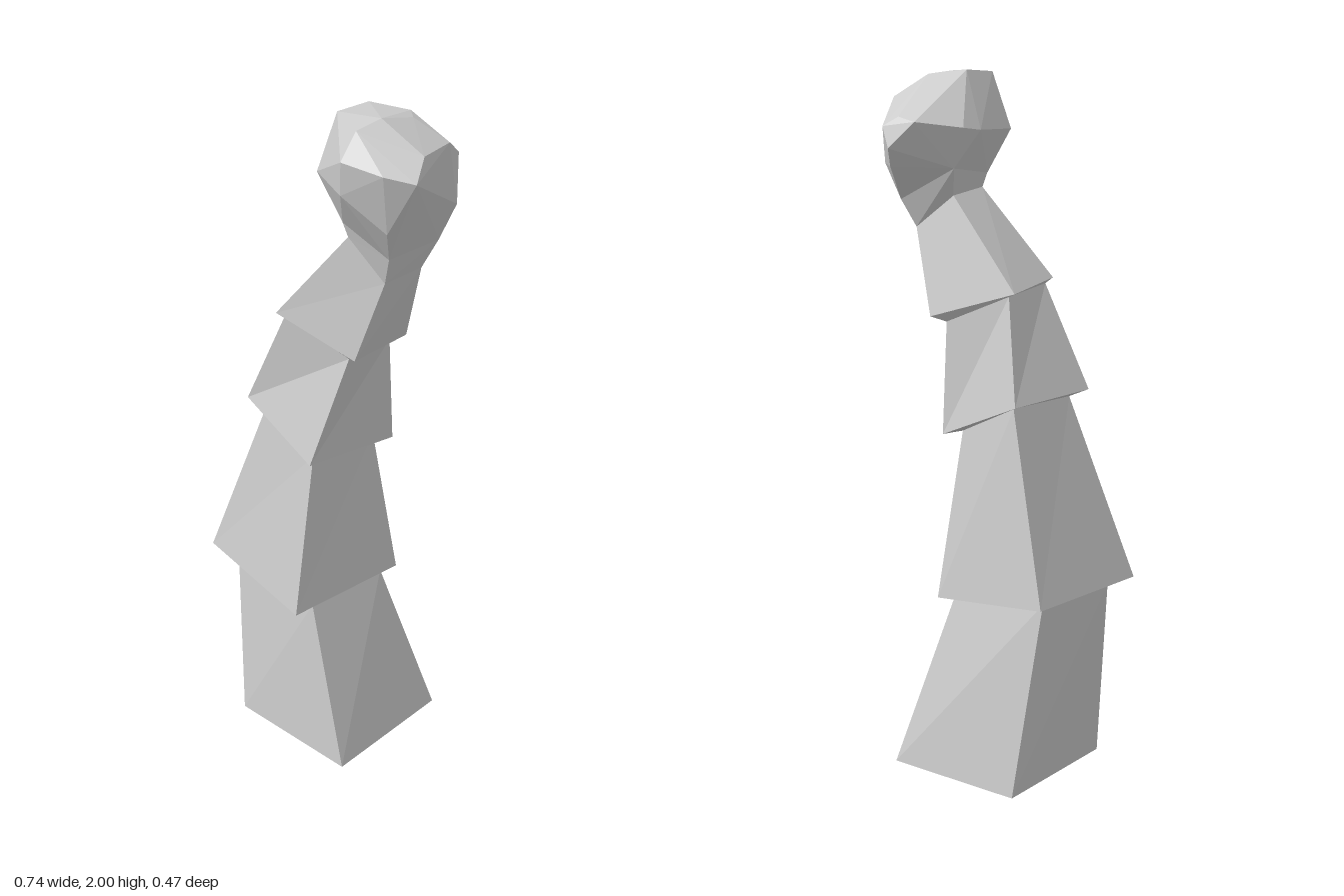
import * as THREE from 'three';
import { ConvexGeometry } from 'three/addons/geometries/ConvexGeometry.js';

const material = new THREE.MeshStandardMaterial({
  color: 0xcccccc, flatShading: true, side: THREE.DoubleSide,
});

// Skin a list of four-cornered loops, running from bottom to top
function skinLoops(loops) {
  const pos = [];
  for (let i = 0; i < loops.length - 1; i++) {
    const lo = loops[i], hi = loops[i + 1];
    for (let k = 0; k < 4; k++) {
      const n = (k + 1) % 4;
      pos.push(...lo[k], ...lo[n], ...hi[n], ...lo[k], ...hi[n], ...hi[k]);
    }
  }
  const geo = new THREE.BufferGeometry();
  geo.setAttribute('position', new THREE.Float32BufferAttribute(pos, 3));
  geo.computeVertexNormals();
  return geo;
}

export function createModel() {
  const group = new THREE.Group();
  const add = (geo, name) => {
    const mesh = new THREE.Mesh(geo, material);
    mesh.name = name;
    group.add(mesh);
  };

  // Corner order: front right, front left, back left, back right of the model.
  // Each flared section has a wide lower rim and a narrow upper end.
  const sections = [
    { name: 'trunkBase',
      rim: [[-0.245, 0, 0.2], [0.18, 0, 0.2], [0.18, 0, -0.23], [-0.245, 0, -0.23]],
      end: [[-0.32, 0.55, 0.13], [0.02, 0.5, 0.155], [0.045, 0.5, -0.12], [-0.29, 0.55, -0.15]] },
    { name: 'trunkLowerSection',
      rim: [[-0.37, 0.565, 0.19], [0.03, 0.51, 0.235], [0.07, 0.507, -0.165], [-0.327, 0.555, -0.213]],
      end: [[-0.19, 1.085, 0.115], [0.015, 1.0, 0.14], [0.035, 0.99, -0.09], [-0.17, 1.08, -0.125]] },
    { name: 'trunkMiddleSection',
      rim: [[-0.233, 1.105, 0.15], [0.045, 1.0, 0.185], [0.08, 0.98, -0.125], [-0.203, 1.09, -0.163]],
      end: [[-0.09, 1.4, 0.135], [0.11, 1.32, 0.095], [0.08, 1.3, -0.105], [-0.12, 1.38, -0.08]] },
    { name: 'trunkUpperSection',
      rim: [[-0.097, 1.415, 0.163], [0.152, 1.335, 0.12], [0.115, 1.315, -0.135], [-0.15, 1.39, -0.095]],
      end: [[0.11, 1.67, 0.1], [0.22, 1.565, 0.08], [0.21, 1.56, -0.078], [0.085, 1.65, -0.065]] },
  ];
  sections.forEach((s, i) => {
    const loops = [s.rim, s.end];
    // Underside step joins each rim to the section below
    if (i > 0) loops.unshift(sections[i - 1].end);
    add(skinLoops(loops), s.name);
  });

  // Neck widening into the knob
  const chin = [[0.1, 1.71, 0.11], [0.25, 1.645, 0.1], [0.24, 1.638, -0.11], [0.055, 1.725, -0.1]];
  add(skinLoops([sections[3].end, chin]), 'neck');

  // Faceted knob at the top
  const knob = [
    ...chin,
    // crown
    [0.08, 1.995, 0.108], [0.08, 1.995, -0.01], [0.185, 1.985, -0.05],
    [0.218, 1.98, -0.02], [0.21, 2.0, 0.09], [0.19, 1.98, 0.16],
    // front
    [0.18, 1.91, 0.205], [0.3, 1.895, 0.185], [0.285, 1.735, 0.15], [0.17, 1.82, 0.195],
    // sides
    [0.368, 1.88, 0.14], [0.34, 1.93, 0.08], [0.305, 1.925, -0.06], [0.28, 1.74, -0.13],
    [0.0, 1.83, -0.05], [0.01, 1.835, -0.115], [0.03, 1.835, 0.13],
    // back
    [0.205, 1.84, -0.225], [0.16, 1.865, -0.21], [0.1, 1.85, -0.215],
    [0.175, 1.78, -0.238], [0.2, 1.73, -0.2],
  ].map((p) => new THREE.Vector3(...p));
  add(new ConvexGeometry(knob), 'knob');

  return group;
}
